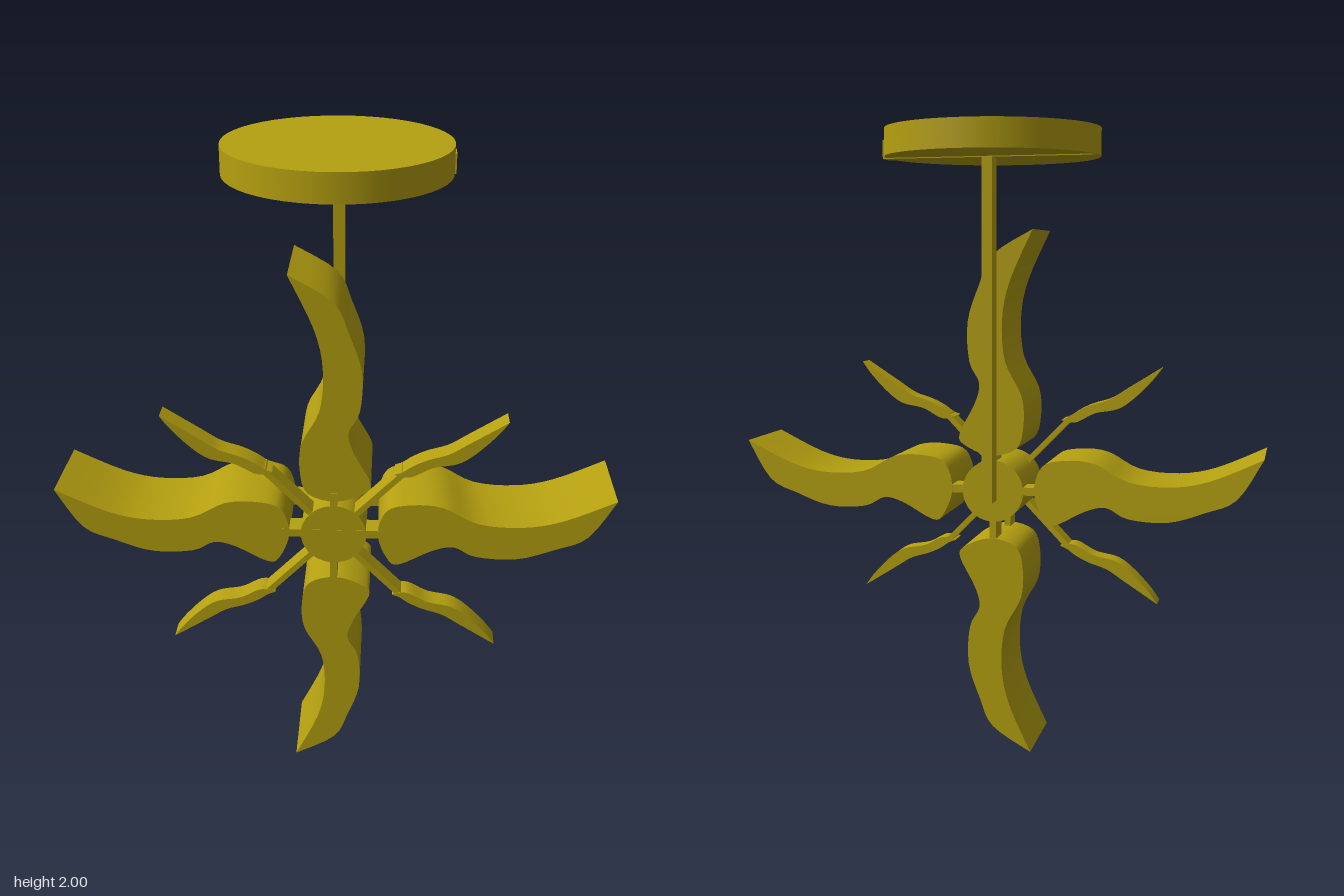
import * as THREE from 'three';
import { toCreasedNormals } from 'three/addons/utils/BufferGeometryUtils.js';

const HUB_Y = 0.87, DEPTH = 0.265, FRONT_Z = 0.2;

export function createModel() {
  const group = new THREE.Group();
  const material = new THREE.MeshStandardMaterial({ color: 0xb5a010 });

  const add = (name, geometry, x = 0, y = 0, z = 0) => {
    const mesh = new THREE.Mesh(geometry, material);
    mesh.name = name;
    mesh.position.set(x, y, z);
    group.add(mesh);
    return mesh;
  };
  // box given by its limits on each axis
  const addBox = (name, x0, x1, y0, y1, z0, z1) =>
    add(name, new THREE.BoxGeometry(x1 - x0, y1 - y0, z1 - z0), (x0 + x1) / 2, (y0 + y1) / 2, (z0 + z1) / 2);
  // smooth outline that starts and ends at a sharp tip, extruded from z0 to the front
  const addWavy = (name, points, z0) => {
    const curve = new THREE.SplineCurve(points.map(([x, y]) => new THREE.Vector2(x, y)));
    const outline = curve.getPoints(64).slice(0, -1);
    const geometry = new THREE.ExtrudeGeometry(new THREE.Shape(outline), { depth: DEPTH - z0, bevelEnabled: false });
    add(name, toCreasedNormals(geometry, 0.6), 0, 0, z0);
  };

  // ceiling canopy, its mounting bar and the hanging pole
  add('canopy', new THREE.CylinderGeometry(0.333, 0.333, 0.085, 48), 0, 1.9575, 0);
  addBox('mountingBar', -0.32, 0.338, 1.912, 1.97, -0.055, 0);
  addBox('pole', -0.012, 0.022, 0.84, 1.93, -0.055, 0);

  // round hub
  const hub = new THREE.CylinderGeometry(0.1, 0.1, DEPTH + 0.002, 40);
  hub.rotateX(Math.PI / 2);
  add('hub', hub, 0, HUB_Y, DEPTH / 2);

  // four broad blades: [sideways, outward] outline starting at the tip
  const blade = [
    [-0.127, 0.847], [0, 0.77], [0.045, 0.675], [0.082, 0.56], [0.077, 0.435], [0.045, 0.367],
    [0.06, 0.3], [0.11, 0.203], [0.093, 0.166], [0.008, 0.135], [-0.077, 0.16], [-0.1, 0.235],
    [-0.093, 0.33], [-0.04, 0.436], [-0.03, 0.568], [-0.055, 0.69], [-0.127, 0.847],
  ];
  for (const s of [1, -1]) {
    addWavy(s > 0 ? 'topBlade' : 'bottomBlade', blade.map(([u, r]) => [u, 0.85 + s * r]), 0);
    addWavy(s > 0 ? 'leftBlade' : 'rightBlade', blade.map(([u, r]) => [s * r, 0.878 - u]), 0);
  }

  // crossed spokes joining the blades to the hub, at the front and the back
  for (const [end, z0, z1] of [['front', FRONT_Z, DEPTH + 0.002], ['back', 0.001, 0.07]]) {
    addBox(end + 'UprightSpoke', -0.011, 0.011, 0.655, 1.015, z0, z1);
    addBox(end + 'LevelSpoke', -0.157, 0.14, 0.86, 0.886, z0, z1);
  }

  // four slim diagonal rays, each on a thin rod
  const ray = [
    [0.51, 0.392], [0.479, 0.35], [0.421, 0.29], [0.368, 0.254], [0.294, 0.238], [0.23, 0.206],
    [0.183, 0.212], [0.205, 0.222], [0.235, 0.243], [0.278, 0.264], [0.341, 0.285], [0.4, 0.322], [0.51, 0.392],
  ];
  for (const sx of [1, -1]) for (const sy of [1, -1]) {
    addWavy('ray', ray.map(([x, y]) => [sx * x, 0.868 + sy * y]), FRONT_Z);
    const rod = add('rayRod', new THREE.BoxGeometry(0.23, 0.018, 0.062),
      sx * 0.13, 0.868 + sy * 0.135, (FRONT_Z + DEPTH) / 2);
    rod.rotation.z = sx * sy * 0.8;
  }
  return group;
}
